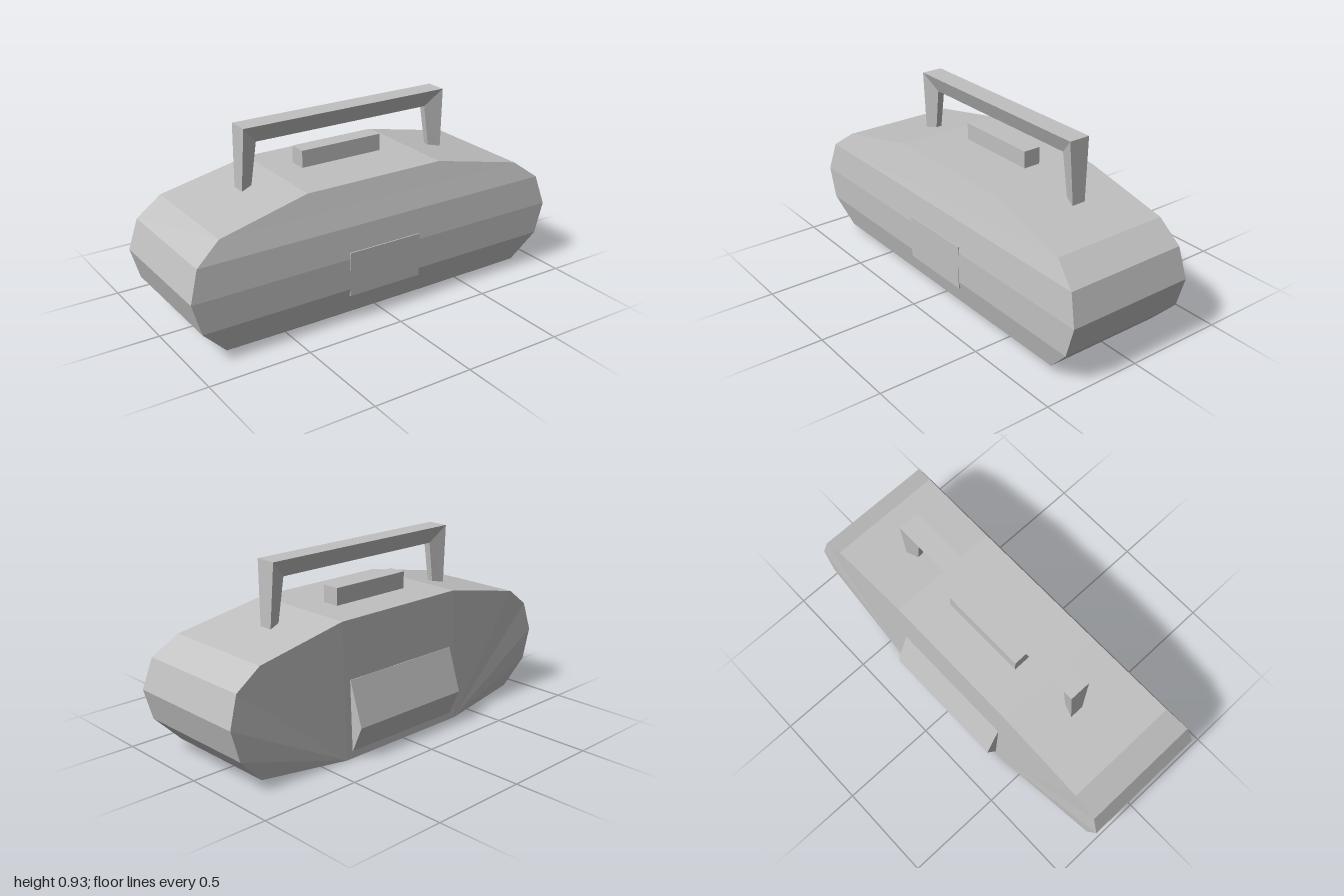
import * as THREE from 'three';

// Flat-shaded polyhedron from corner points and polygon faces (fanned into triangles)
function polyhedron(points, faces) {
  const pos = [];
  for (const f of faces)
    for (let i = 1; i < f.length - 1; i++) pos.push(...points[f[0]], ...points[f[i]], ...points[f[i + 1]]);
  const g = new THREE.BufferGeometry();
  g.setAttribute('position', new THREE.Float32BufferAttribute(pos, 3));
  g.computeVertexNormals();
  return g;
}

// Body: faceted outline with a rounded front and a nearly flat back
function bodyGeometry() {
  // half outline from bottom to top: x, y, front z, back z
  const half = [
    [0.37, 0, 0.285, -0.315], [0.83, 0.04, 0.34, -0.267], [0.955, 0.17, 0.37, -0.287],
    [1, 0.325, 0.37, -0.287], [0.955, 0.475, 0.35, -0.277], [0.83, 0.567, 0.317, -0.279],
    [0.37, 0.66, 0.285, -0.285],
  ];
  const ring = [...half, ...half.map(([x, ...r]) => [-x, ...r]).reverse()];
  const n = ring.length;
  const points = [
    ...ring.map(([x, y, f]) => [x, y, f]),
    ...ring.map(([x, y, , b]) => [x, y, b]),
  ];
  const faces = [[n, n + 13, n + 7, n + 6]];
  for (let i = 0; i < n; i++) {
    const j = (i + 1) % n;
    faces.push([i, n + i, n + j, j]);
  }
  for (let k = 0; k < 6; k++) {
    faces.push([13 - k, k, k + 1, 12 - k]);
    if (k > 0) faces.push([n, n + k + 1, n + k], [n + 13, n + 13 - k, n + 12 - k]);
  }
  return polyhedron(points, faces);
}

// Handle: tapered section swept up one leg, along the grip and down the other
function handleGeometry() {
  // outer x, outer y, inner x, inner y, outer half depth, inner half depth
  const stations = [
    [-0.56, 0.61, -0.502, 0.61, 0.035, 0.015],
    [-0.55, 0.925, -0.47, 0.84, 0.054, 0.018],
    [0.575, 0.925, 0.49, 0.84, 0.054, 0.018],
    [0.585, 0.61, 0.525, 0.61, 0.035, 0.015],
  ];
  const zc = -0.013;
  const points = stations.flatMap(([ox, oy, ix, iy, d, e]) => [
    [ox, oy, zc + d], [ox, oy, zc - d], [ix, iy, zc - e], [ix, iy, zc + e],
  ]);
  const faces = [[0, 1, 2, 3], [15, 14, 13, 12]];
  for (let s = 0; s < 3; s++)
    for (let j = 0; j < 4; j++) {
      const a = s * 4, b = a + 4, k = (j + 1) % 4;
      faces.push([a + j, b + j, b + k, a + k]);
    }
  return polyhedron(points, faces);
}

export function createModel() {
  const group = new THREE.Group();
  const grey = new THREE.MeshStandardMaterial({ color: 0xc0c0c0, flatShading: true });
  grey.name = 'light grey';
  const add = (name, geometry, x = 0, y = 0, z = 0) => {
    const mesh = new THREE.Mesh(geometry, grey);
    mesh.name = name;
    mesh.position.set(x, y, z);
    group.add(mesh);
  };

  add('body', bodyGeometry());
  add('handle', handleGeometry());
  add('topButtonBlock', new THREE.BoxGeometry(0.445, 0.105, 0.09), -0.002, 0.6925, -0.043);
  add('frontPanel', new THREE.BoxGeometry(0.395, 0.22, 0.05), 0, 0.245, 0.3465);

  // Wedge-shaped housing on the back
  const profile = new THREE.Shape([[-0.27, 0.38], [-0.27, 0.035], [-0.315, 0.035], [-0.372, 0.165], [-0.3, 0.38]]
    .map(([z, y]) => new THREE.Vector2(z, y)));
  const wedge = new THREE.ExtrudeGeometry(profile, { depth: 0.67, bevelEnabled: false });
  wedge.rotateY(-Math.PI / 2);
  add('backHousing', wedge, 0.335);

  return group;
}
